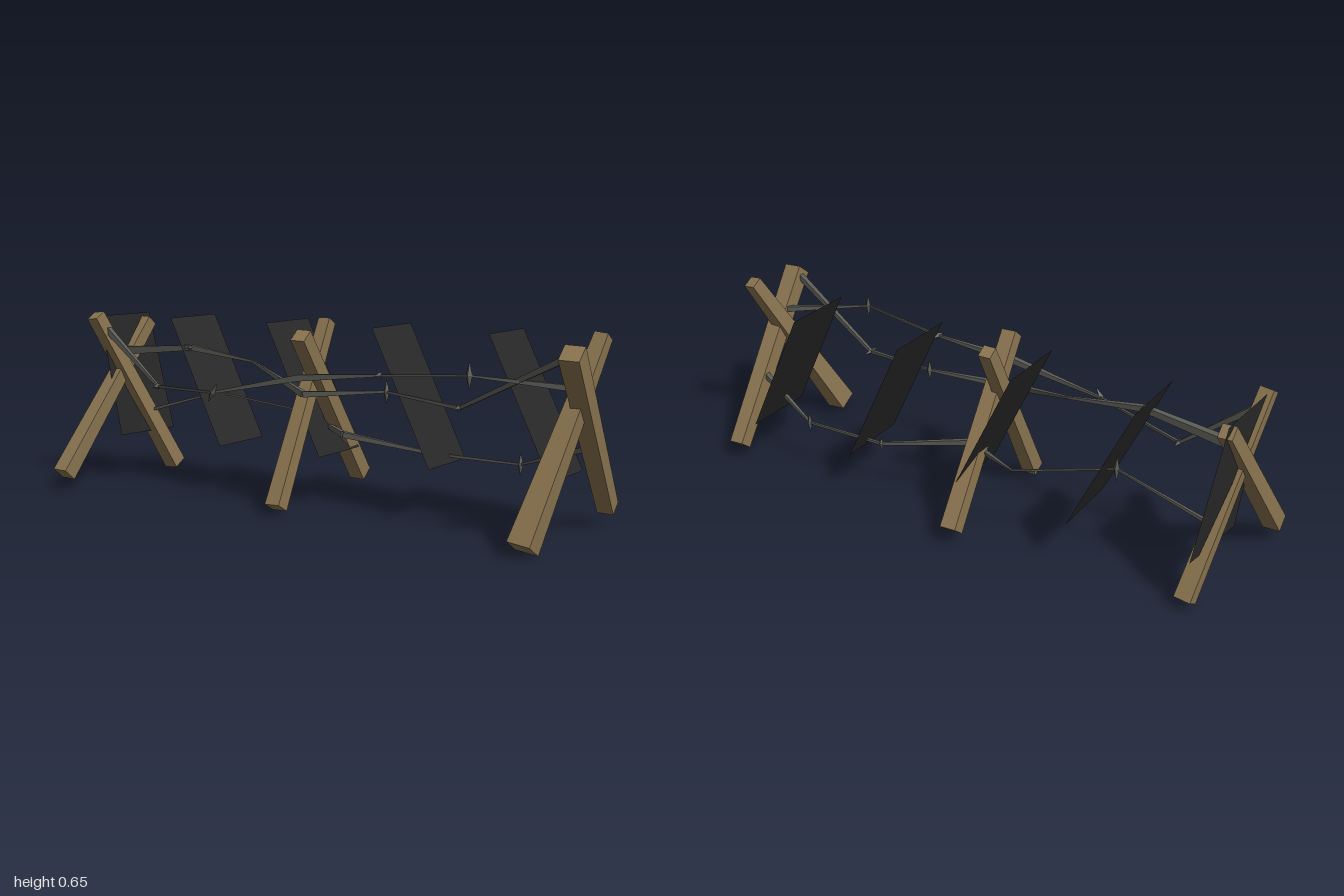
import * as THREE from 'three';

const V = (p) => new THREE.Vector3(...p);

// Tapered square bar from a to b; wa and wb are its widths at each end
function bar(a, b, wa, wb, material, name) {
  const start = V(a), end = V(b);
  const dir = end.clone().sub(start);
  const g = new THREE.CylinderGeometry(wb * Math.SQRT1_2, wa * Math.SQRT1_2, dir.length(), 4);
  g.rotateY(Math.PI / 4);
  dir.normalize();
  const ref = Math.abs(dir.x) > 0.7 ? new THREE.Vector3(0, 0, 1) : new THREE.Vector3(1, 0, 0);
  const x = ref.addScaledVector(dir, -ref.dot(dir)).normalize();
  const z = x.clone().cross(dir);
  g.applyMatrix4(new THREE.Matrix4().makeBasis(x, dir, z));
  const m = new THREE.Mesh(g, material);
  m.position.copy(start).add(end).multiplyScalar(0.5);
  m.name = name;
  return m;
}

export function createModel() {
  const root = new THREE.Group();
  root.name = 'wireBarricade';
  const wood = new THREE.MeshStandardMaterial({ color: 0x8b7550, flatShading: true });
  wood.name = 'wood';
  const metal = new THREE.MeshStandardMaterial({ color: 0x5c5c56, flatShading: true });
  metal.name = 'wireMetal';
  const dark = new THREE.MeshStandardMaterial({ color: 0x282828, side: THREE.DoubleSide });
  dark.name = 'darkPanel';

  // Three crossed pairs of posts: bottom, top, bottom width, top width
  const crosses = {
    rightCross: [
      [[-0.97, 0.058, 0.30], [-0.938, 0.6, -0.152], 0.06, 0.048],
      [[-0.882, 0.028, -0.235], [-0.96, 0.632, 0.12], 0.058, 0.048],
    ],
    middleCross: [
      [[-0.066, 0.026, 0.237], [-0.083, 0.633, -0.11], 0.056, 0.045],
      [[-0.07, 0.056, -0.317], [-0.035, 0.6, 0.13], 0.058, 0.053],
    ],
    leftCross: [
      [[0.865, 0.024, 0.307], [0.962, 0.633, -0.048], 0.077, 0.046],
      [[0.922, 0.056, -0.235], [0.966, 0.6, 0.213], 0.055, 0.065],
    ],
  };
  for (const [name, posts] of Object.entries(crosses)) {
    const group = new THREE.Group();
    group.name = name;
    posts.forEach(([a, b, wa, wb]) => group.add(bar(a, b, wa, wb, wood, 'post')));
    root.add(group);
  }

  // Sagging wires: x, y, z, thickness at each bend
  const wires = {
    frontWire: [
      [-0.94, 0.58, 0.08, 0.022], [-0.69, 0.38, 0.09, 0.01], [-0.34, 0.395, 0.215, 0.008],
      [0, 0.465, 0.19, 0.022], [0.3, 0.49, 0.177, 0.008], [0.64, 0.515, 0.22, 0.006], [0.95, 0.48, 0.09, 0.02],
    ],
    middleWire: [
      [-0.94, 0.49, -0.03, 0.03], [-0.6, 0.52, 0, 0.02], [-0.33, 0.485, 0, 0.008],
      [-0.03, 0.4, 0.12, 0.02], [0.25, 0.42, 0.045, 0.008], [0.55, 0.395, 0.105, 0.012], [0.95, 0.585, 0.2, 0.02],
    ],
    backWire: [
      [-0.91, 0.25, -0.12, 0.012], [-0.57, 0.345, -0.115, 0.006], [-0.24, 0.285, -0.21, 0.006],
      [0.02, 0.243, -0.055, 0.02], [0.33, 0.19, -0.148, 0.01], [0.65, 0.185, -0.148, 0.008], [0.93, 0.28, -0.06, 0.02],
    ],
  };
  for (const [name, pts] of Object.entries(wires)) {
    const group = new THREE.Group();
    group.name = name;
    for (let i = 0; i + 1 < pts.length; i++) {
      const a = pts[i], b = pts[i + 1];
      group.add(bar(a.slice(0, 3), b.slice(0, 3), a[3], b[3], metal, 'wireSegment'));
    }
    root.add(group);
  }

  // Diamond barbs: position, direction, half length
  const barbs = [
    [[-0.69, 0.38, 0.09], [0, 0, 1], 0.035],
    [[-0.34, 0.395, 0.22], [0.5, 0.8, 0], 0.04],
    [[0.3, 0.49, 0.177], [0, 0, 1], 0.035],
    [[0.64, 0.515, 0.22], [0, 1, 0], 0.047],
    [[-0.6, 0.52, 0], [0, 0, 1], 0.035],
    [[0.25, 0.42, 0.045], [0, 1, 0], 0.042],
    [[0.55, 0.395, 0.105], [0, 0, 1], 0.04],
    [[-0.57, 0.345, -0.115], [0, 1, 0], 0.048],
    [[0.33, 0.19, -0.148], [0, 1, 0], 0.024],
    [[0.65, 0.185, -0.148], [0, 1, 0], 0.04],
  ];
  for (const [pos, dir, half] of barbs) {
    const m = new THREE.Mesh(new THREE.OctahedronGeometry(1), metal);
    m.scale.set(0.011, half, 0.011);
    m.quaternion.setFromUnitVectors(new THREE.Vector3(0, 1, 0), V(dir).normalize());
    m.position.set(...pos);
    m.name = 'barb';
    root.add(m);
  }

  // Thin leaning panels: top front, top back, bottom front, bottom back corners
  const addPanel = (corners) => {
    const g = new THREE.BufferGeometry();
    g.setAttribute('position', new THREE.Float32BufferAttribute(corners.flat(), 3));
    g.setIndex([0, 2, 1, 2, 3, 1]);
    g.computeVertexNormals();
    const m = new THREE.Mesh(g, dark);
    m.name = 'panel';
    root.add(m);
  };
  for (let i = 0; i < 4; i++) {
    const x = -0.68 + i * 0.43;
    addPanel([[x, 0.627, 0.025], [x, 0.627, -0.243], [x + 0.22, 0.168, 0.025], [x + 0.22, 0.168, -0.243]]);
  }
  addPanel([[-0.965, 0.628, 0.09], [-0.95, 0.628, -0.175], [-0.925, 0.17, 0.03], [-0.89, 0.17, -0.24]]);
  return root;
}
